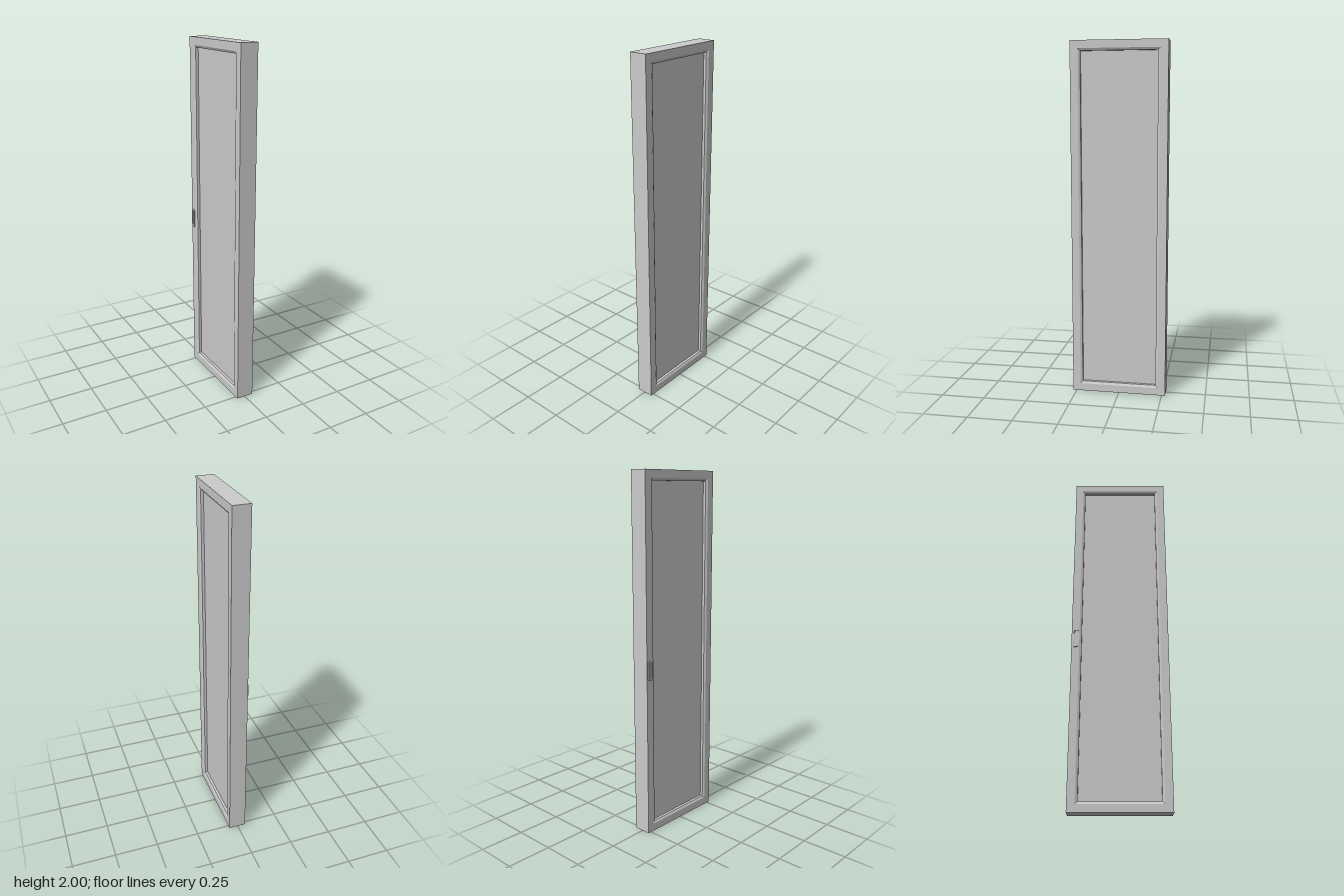
import * as THREE from 'three';

const grey = () => new THREE.MeshStandardMaterial({ color: 0xcccccc, flatShading: true });
const HEIGHT = 2, HALF_DEPTH = 0.27, CENTER_X = 0.002;

// Sweeps a closed [inset, x] profile round the upright rectangle, with mitred corners
function mitredFrame(profile) {
  const corner = (i, [inset, x]) => {
    const z = (HALF_DEPTH - inset) * (i % 4 === 0 || i % 4 === 3 ? 1 : -1);
    const y = i % 4 < 2 ? inset : HEIGHT - inset;
    return [x, y, z];
  };
  const pos = [];
  for (let i = 0; i < 4; i++) {
    profile.forEach((p, j) => {
      const q = profile[(j + 1) % profile.length];
      const a = corner(i, p), b = corner(i + 1, p), c = corner(i + 1, q), d = corner(i, q);
      pos.push(...a, ...b, ...c, ...a, ...c, ...d);
    });
  }
  const geo = new THREE.BufferGeometry();
  geo.setAttribute('position', new THREE.Float32BufferAttribute(pos, 3));
  geo.computeVertexNormals();
  return geo;
}

// Upright plate outline with clipped corners
function clippedRect(Type, w, h, c) {
  const s = new Type();
  s.moveTo(-w + c, -h);
  s.lineTo(w - c, -h);
  s.lineTo(w, -h + c);
  s.lineTo(w, h - c);
  s.lineTo(w - c, h);
  s.lineTo(-w + c, h);
  s.lineTo(-w, h - c);
  s.lineTo(-w, -h + c);
  s.closePath();
  return s;
}

export function createModel() {
  const group = new THREE.Group();
  const add = (name, geo, x = 0, y = 0, z = 0) => {
    const mesh = new THREE.Mesh(geo, grey());
    mesh.name = name;
    mesh.position.set(x, y, z);
    group.add(mesh);
    return mesh;
  };

  // Frame: flat faces, a small bevel at the opening, then a straight rebate
  add('frame', mitredFrame([
    [0, -0.05], [0, 0.05], [0.043, 0.05], [0.056, 0.043], [0.056, -0.043], [0.043, -0.05],
  ]), CENTER_X);

  // Recessed panel, tucked slightly into the frame
  add('panel', new THREE.BoxGeometry(0.054, HEIGHT - 0.108, HALF_DEPTH * 2 - 0.108), CENTER_X, HEIGHT / 2, 0);

  // Flush pull on the -x face: slim plate with a finger slot
  const plate = clippedRect(THREE.Shape, 0.014, 0.054, 0.005);
  plate.holes.push(clippedRect(THREE.Path, 0.008, 0.044, 0.003));
  const pull = add('flushPull', new THREE.ExtrudeGeometry(plate, { depth: 0.006, bevelEnabled: false }),
    -0.0475, 0.954, -0.248);
  pull.rotation.y = -Math.PI / 2;

  return group;
}
